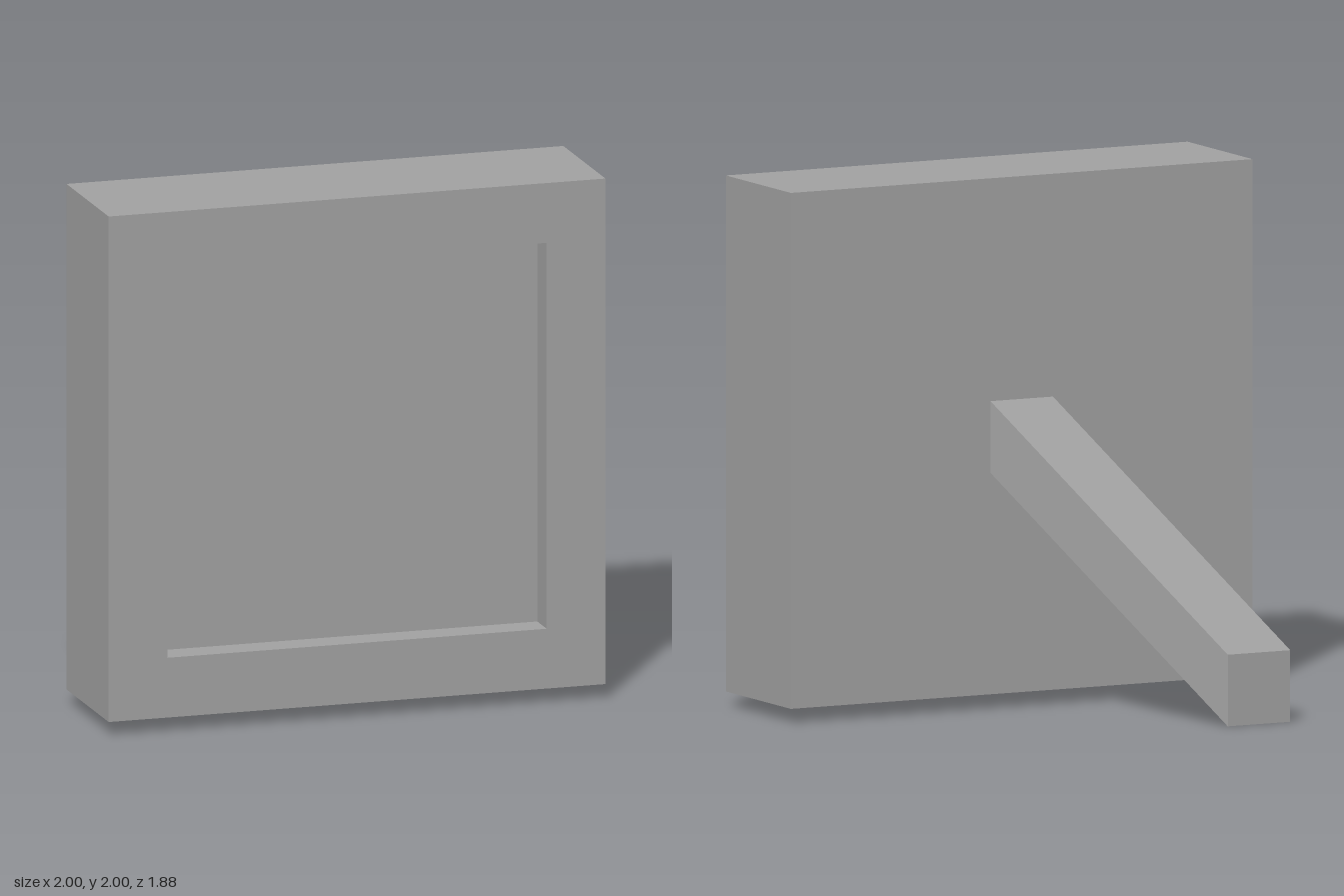
import * as THREE from 'three';

const WIDTH = 1.944, HEIGHT = 1.945, DEPTH = 0.525;
const BORDER = 0.23, RECESS = 0.118;
const LEG = { width: 0.263, height: 0.27, reach: 0.822, rise: 0.89, drift: 0.57 };

// Rectangle outline centred on the origin
function rectangle(path, w, h) {
  path.moveTo(-w / 2, -h / 2);
  path.lineTo(w / 2, -h / 2);
  path.lineTo(w / 2, h / 2);
  path.lineTo(-w / 2, h / 2);
  path.closePath();
  return path;
}

export function createModel() {
  const grey = new THREE.MeshStandardMaterial({ color: 0xa0a0a0 });
  grey.name = 'grey';

  const model = new THREE.Group();
  model.name = 'standingFrame';

  const add = (name, geometry, x, y, z) => {
    const mesh = new THREE.Mesh(geometry, grey);
    mesh.name = name;
    mesh.position.set(x, y, z);
    model.add(mesh);
  };

  const midY = 2 - HEIGHT / 2;

  // Front border around the recessed panel
  const outline = rectangle(new THREE.Shape(), WIDTH, HEIGHT);
  outline.holes.push(rectangle(new THREE.Path(), WIDTH - 2 * BORDER, HEIGHT - 2 * BORDER));
  const border = new THREE.ExtrudeGeometry(outline, { depth: RECESS, bevelEnabled: false });
  add('frontBorder', border, 0, midY, DEPTH / 2 - RECESS);

  // Solid body behind the border; its front is the recessed panel
  add('body', new THREE.BoxGeometry(WIDTH, HEIGHT, DEPTH - RECESS), 0, midY, -RECESS / 2);

  // Rear support leg: a box sheared down and sideways towards its foot
  const leg = new THREE.BoxGeometry(LEG.width, LEG.height, LEG.reach);
  const p = leg.attributes.position;
  for (let i = 0; i < p.count; i++) {
    const t = p.getZ(i) / LEG.reach + 0.5;
    p.setX(i, p.getX(i) + LEG.drift * (t - 1));
    p.setY(i, p.getY(i) + LEG.rise * t);
  }
  const flatLeg = leg.toNonIndexed();
  flatLeg.computeVertexNormals();
  add('supportLeg', flatLeg, 0, LEG.height / 2, -DEPTH / 2 - LEG.reach / 2);

  // Whole piece stands turned to one side
  model.rotation.y = -0.388;
  model.position.z = 0.325;
  return model;
}
